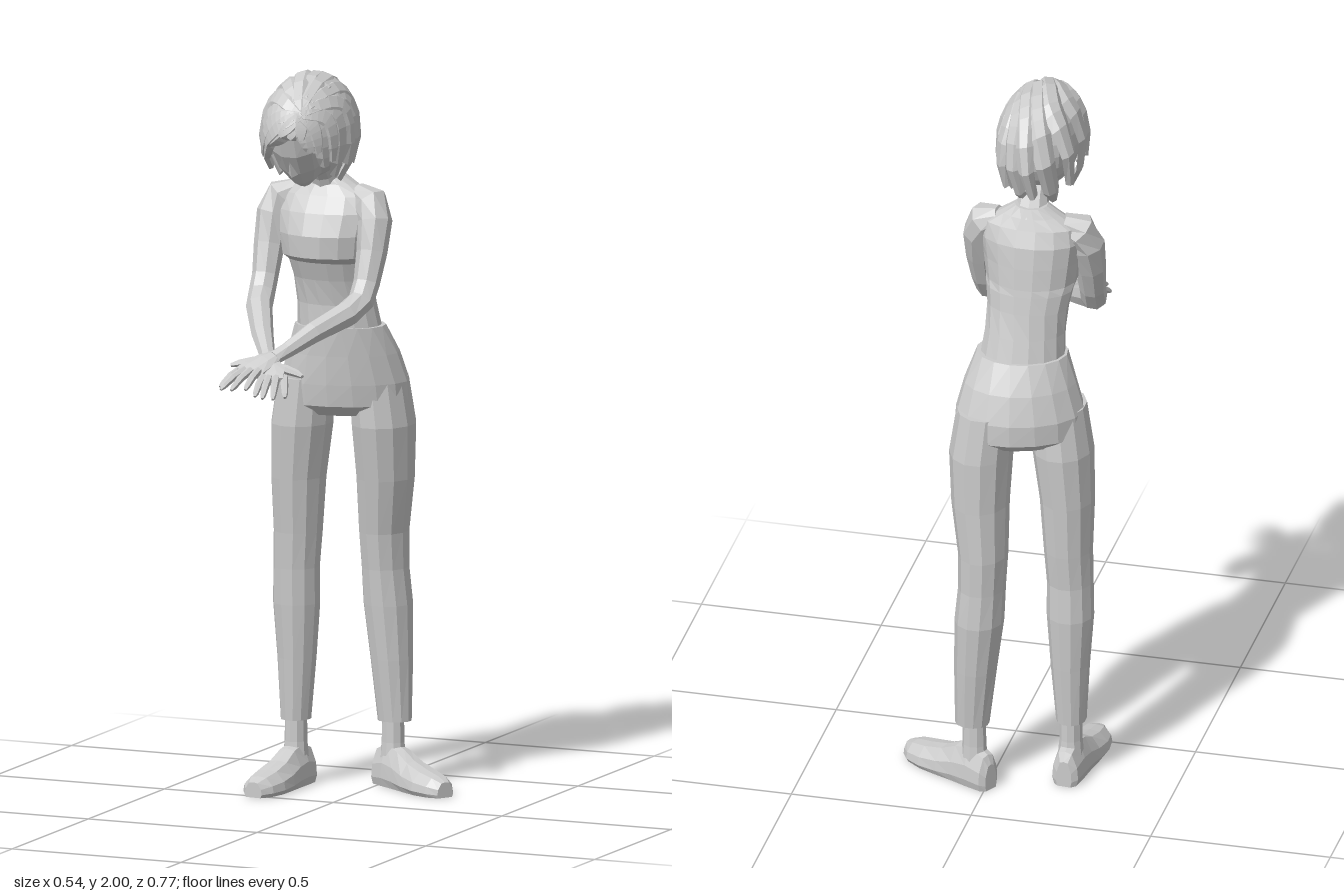
import * as THREE from 'three';

const MID = -0.08; // the upper body's centre line in x
const V = (x, y, z) => new THREE.Vector3(x, y, z);
const material = new THREE.MeshStandardMaterial({ color: 0xcccccc, flatShading: true });

// Joins rings of points into a closed skin; turns the faces outward by signed volume.
function loft(rings) {
  const n = rings[0].length, pts = rings.flat(), tris = [];
  for (let i = 0; i < rings.length - 1; i++) {
    for (let j = 0; j < n; j++) {
      const a = i * n + j, b = i * n + (j + 1) % n;
      tris.push([a, b, b + n], [a, b + n, a + n]);
    }
  }
  const last = (rings.length - 1) * n;
  for (let j = 1; j < n - 1; j++) tris.push([0, j + 1, j], [last, last + j, last + j + 1]);
  let volume = 0;
  for (const [a, b, c] of tris) {
    volume += pts[a].clone().sub(pts[0]).dot(
      pts[b].clone().sub(pts[0]).cross(pts[c].clone().sub(pts[0])));
  }
  const geo = new THREE.BufferGeometry().setFromPoints(pts);
  geo.setIndex(tris.flatMap(([a, b, c]) => (volume < 0 ? [a, c, b] : [a, b, c])));
  geo.computeVertexNormals();
  return geo;
}

// Level elliptical rings: [x, y, z, rx, rz, yaw]
function stack(sections, n = 14) {
  return loft(sections.map(([x, y, z, rx, rz, yaw = 0]) =>
    Array.from({ length: n }, (_, j) => {
      const a = (j + 0.5) / n * Math.PI * 2;
      return V(Math.cos(a) * rx, 0, Math.sin(a) * rz)
        .applyAxisAngle(V(0, 1, 0), yaw).add(V(x, y, z));
    })));
}

// Rings square to a path: [x, y, z, halfWidth, halfThickness]
function limb(sections, n = 8) {
  const p = sections.map(s => V(s[0], s[1], s[2]));
  return loft(sections.map(([, , , w, h = w], i) => {
    const t = p[Math.min(i + 1, p.length - 1)].clone().sub(p[Math.max(i - 1, 0)]).normalize();
    const side = t.clone().cross(V(0, 1, 1)).normalize();
    const up = side.clone().cross(t);
    return Array.from({ length: n }, (_, j) => {
      const a = (j + 0.5) / n * Math.PI * 2;
      return p[i].clone().addScaledVector(side, Math.cos(a) * w).addScaledVector(up, Math.sin(a) * h);
    });
  }));
}

function add(parent, name, geo) {
  const mesh = new THREE.Mesh(geo, material);
  mesh.name = name;
  parent.add(mesh);
  return mesh;
}

function group(parent, name) {
  const g = new THREE.Group();
  g.name = name;
  parent.add(g);
  return g;
}

function addArm(parent, s, drop) {
  const arm = group(parent, s > 0 ? 'leftArm' : 'rightArm');
  // Points are given for the left side, measured from the centre line
  const place = list => list.map(([u, y, z, ...r]) => [MID + s * u, y - (z > 0.05 ? drop : 0), z, ...r]);
  add(arm, 'sleeveAndForearm', limb(place([
    [0.085, 1.65, -0.145, 0.03], [0.128, 1.63, -0.135, 0.05], [0.147, 1.58, -0.12, 0.05],
    [0.152, 1.5, -0.095, 0.042], [0.15, 1.42, -0.065, 0.036], [0.147, 1.375, -0.035, 0.036],
    [0.13, 1.347, 0.02, 0.036], [0.075, 1.308, 0.12, 0.03], [0.03, 1.268, 0.19, 0.022],
    [0.008, 1.252, 0.228, 0.022, 0.017]])));
  add(arm, 'palm', limb(place([
    [0.014, 1.256, 0.215, 0.021, 0.016], [-0.008, 1.243, 0.25, 0.034, 0.016],
    [-0.028, 1.228, 0.285, 0.04, 0.014], [-0.04, 1.218, 0.312, 0.034, 0.009]])));
  // Finger roots and tips: index to little finger
  const fingers = [
    [-0.062, 0.282, -0.096, 0.352], [-0.047, 0.3, -0.077, 0.39],
    [-0.027, 0.305, -0.046, 0.39], [-0.007, 0.298, -0.014, 0.368]];
  fingers.forEach(([u0, z0, u1, z1], i) => {
    const ring = (t, y, r) => [u0 + (u1 - u0) * t, y, z0 + (z1 - z0) * t, r];
    add(arm, 'finger' + (i + 1), limb(place([
      ring(0, 1.228, 0.011), ring(0.5, 1.212, 0.0105), ring(0.88, 1.192, 0.008), ring(1, 1.185, 0.004)]), 6));
  });
  add(arm, 'thumb', limb(place([
    [-0.005, 1.245, 0.235, 0.014], [-0.05, 1.24, 0.238, 0.013],
    [-0.085, 1.234, 0.249, 0.01], [-0.106, 1.229, 0.26, 0.005]]), 6));
}

function addFoot(parent, name, x, z, yaw) {
  const foot = group(parent, name);
  foot.position.set(x, 0, z);
  foot.rotation.y = yaw;
  add(foot, 'ankle', stack([[0, 0.06, 0, 0.036, 0.04], [0, 0.12, 0, 0.031, 0.034], [0, 0.2, 0, 0.03, 0.032]], 10));
  // Shoe slices from heel to toe: [z, halfWidth, height]
  const slices = [[-0.062, 0.022, 0.075], [-0.05, 0.037, 0.1], [0, 0.043, 0.118], [0.05, 0.046, 0.105],
    [0.1, 0.052, 0.08], [0.16, 0.056, 0.064], [0.21, 0.047, 0.054], [0.24, 0.026, 0.042]];
  add(foot, 'shoe', loft(slices.map(([fz, w, h]) =>
    [[-0.85, 0], [0.85, 0], [1, 0.2], [0.92, 0.55], [0.5, 0.95], [0, 1], [-0.5, 0.95], [-0.92, 0.55], [-1, 0.2]]
      .map(([a, b]) => V(a * w, b * h, fz)))));
}

function addHair(parent) {
  const hair = group(parent, 'hair');
  const centre = V(MID, 1.835, -0.025), radii = V(0.115, 0.155, 0.172);
  const onHead = (dir, r) => dir.clone().normalize().multiply(radii).multiplyScalar(r).add(centre);
  const part = V(0.32, 0.42, 0.85).normalize();
  const count = 22, steps = 9;
  // Locks sweep from the parting over the skull to the rim around the face and nape
  for (let i = 0; i < count; i++) {
    const phi = (i + 0.5) / count * Math.PI * 2;
    const sn = Math.sin(phi), cs = Math.cos(phi), drop = 0.42 + 0.42 * sn * sn;
    const rim = V(0.9 * sn, 0.4 * cs - 0.85 * drop, 0.68 * cs + 0.5 * drop).normalize();
    const mid = part.clone().add(rim).addScaledVector(V(0, 0.7, -0.62), (1 - cs) * 0.8).normalize();
    const path = new THREE.CatmullRomCurve3([part, mid, rim]);
    const end = i % 2 ? 0.88 : 1, back = (1 - cs) / 2;
    const rings = [];
    for (let k = 0; k <= steps; k++) {
      const t = k / steps;
      const dir = path.getPoint(t * end).normalize();
      const side = path.getTangent(t * end).cross(dir).normalize();
      const w = 0.05 + 0.24 * Math.pow(Math.sin(Math.PI * Math.min(0.95, 0.1 + 0.85 * t)), 0.7);
      const lift = 0.1 * back * Math.pow(t, 5) + (i % 2 ? 0.012 : 0);
      rings.push([[-1, 0.95], [-0.45, 1.045], [0.3, 1.05], [1, 0.97], [0, 0.9]].map(([a, r]) =>
        onHead(dir.clone().addScaledVector(side, a * w), r + lift)));
    }
    add(hair, 'hairLock', loft(rings));
  }
}

export function createModel() {
  const model = new THREE.Group();
  model.name = 'woman';

  // Trousers: hips, then one leg at a time, from hip to cuff
  const trousers = group(model, 'trousers');
  add(trousers, 'hips', stack([
    [-0.068, 1.278, -0.2, 0.125, 0.096, 0.15], [-0.068, 1.2, -0.222, 0.153, 0.112, 0.25],
    [-0.071, 1.12, -0.236, 0.176, 0.12, 0.28], [-0.071, 1.06, -0.24, 0.178, 0.115, 0.3],
    [-0.072, 1.03, -0.24, 0.14, 0.08, 0.3]], 16));
  add(trousers, 'leftLeg', stack([
    [0.015, 1.13, -0.265, 0.08, 0.1], [0.028, 1.0, -0.272, 0.086, 0.108], [0.027, 0.85, -0.285, 0.078, 0.095],
    [0.016, 0.7, -0.3, 0.067, 0.083], [0.018, 0.6, -0.305, 0.064, 0.076], [0.024, 0.5, -0.31, 0.067, 0.075],
    [0.035, 0.35, -0.308, 0.058, 0.061], [0.045, 0.18, -0.305, 0.047, 0.042]], 12));
  add(trousers, 'rightLeg', stack([
    [-0.17, 1.13, -0.2, 0.075, 0.09], [-0.183, 1.0, -0.205, 0.083, 0.1], [-0.196, 0.85, -0.21, 0.074, 0.088],
    [-0.2, 0.7, -0.215, 0.066, 0.076], [-0.205, 0.6, -0.215, 0.063, 0.068], [-0.207, 0.5, -0.22, 0.064, 0.068],
    [-0.207, 0.35, -0.222, 0.053, 0.058], [-0.21, 0.18, -0.222, 0.041, 0.047]], 12));

  addFoot(model, 'leftFoot', 0.038, -0.31, 1.05);
  addFoot(model, 'rightFoot', -0.208, -0.218, -0.08);

  // Torso with a ledge under the bust, closing into the shoulders
  add(model, 'torso', stack([
    [-0.068, 1.25, -0.202, 0.118, 0.092, 0.15], [-0.074, 1.34, -0.19, 0.11, 0.08, 0.1],
    [-0.078, 1.41, -0.175, 0.112, 0.08], [MID, 1.46, -0.162, 0.12, 0.085],
    [MID, 1.48, -0.138, 0.126, 0.106], [MID, 1.54, -0.133, 0.134, 0.104],
    [MID, 1.6, -0.14, 0.142, 0.088], [MID, 1.645, -0.145, 0.134, 0.064],
    [MID, 1.675, -0.147, 0.085, 0.05], [MID, 1.7, -0.145, 0.045, 0.042]], 16));

  addArm(model, 1, 0);
  addArm(model, -1, 0.016);

  // Bowed neck and head
  add(model, 'neck', limb([
    [MID, 1.65, -0.155, 0.05], [MID, 1.71, -0.12, 0.041], [MID, 1.79, -0.06, 0.042]], 10));
  const head = group(model, 'head');
  const skull = add(head, 'skull', new THREE.SphereGeometry(1, 16, 12));
  skull.scale.set(0.105, 0.138, 0.152);
  skull.position.set(MID, 1.845, -0.028);
  const face = add(head, 'face', stack([
    [0, 0.09, -0.01, 0.082, 0.08], [0, 0.03, 0, 0.083, 0.088], [0, -0.03, 0.004, 0.074, 0.084],
    [0, -0.075, 0.012, 0.05, 0.066], [0, -0.1, 0.03, 0.022, 0.032]], 12));
  face.position.set(MID, 1.805, 0.025);
  face.rotation.x = 0.6;
  const nose = add(face, 'nose', new THREE.ConeGeometry(0.014, 0.045, 4));
  nose.position.set(0, -0.005, 0.09);
  addHair(head);

  return model;
}
